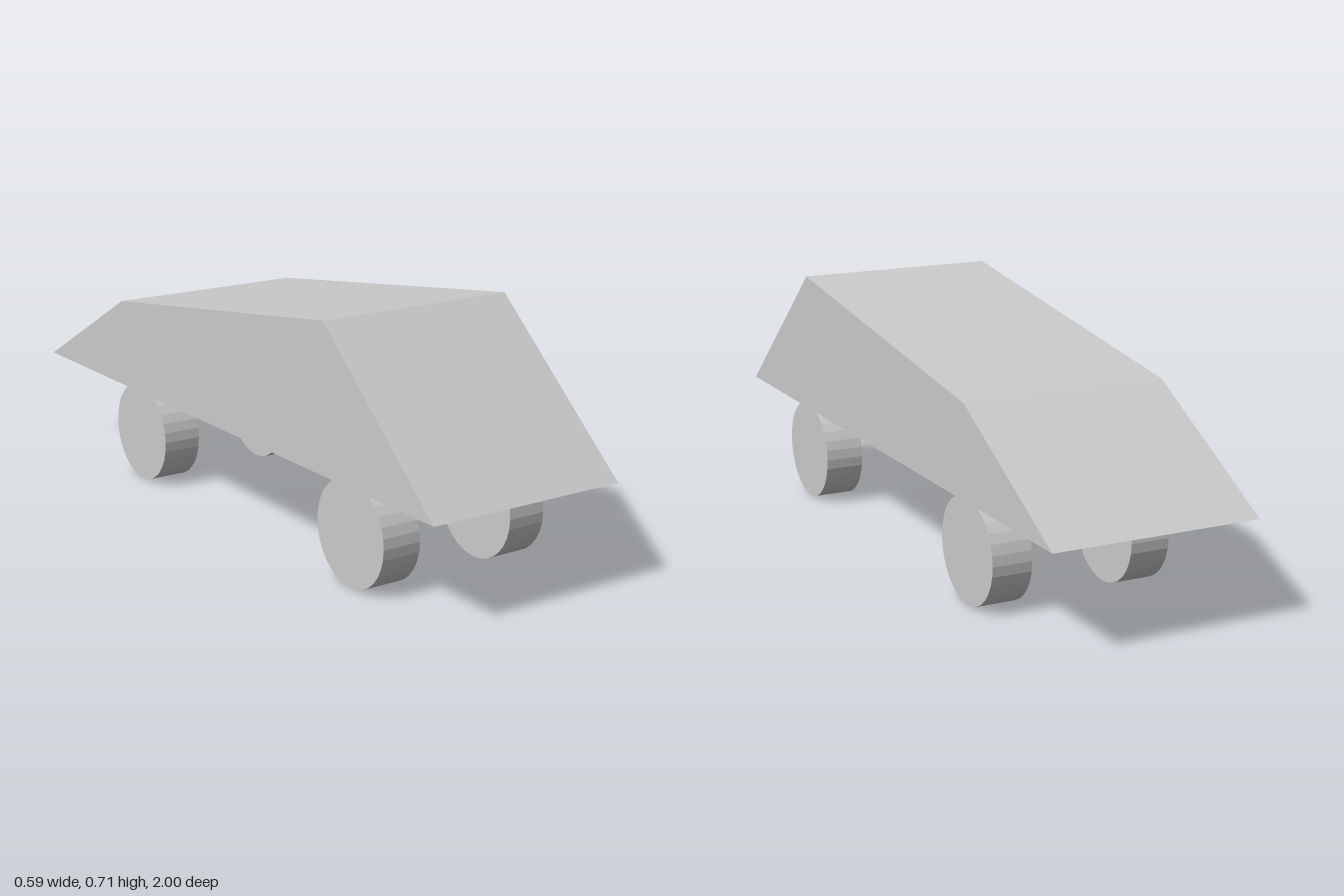
import * as THREE from 'three';

const BODY_WIDTH = 0.592;
const WHEEL_RADIUS = 0.148;
const WHEEL_WIDTH = 0.115;

export function createModel() {
  const model = new THREE.Group();
  model.name = 'wedgeCar';
  const material = new THREE.MeshStandardMaterial({ color: 0xcccccc, flatShading: true });

  // Body: side profile as (z, y), extruded across the width
  const profile = new THREE.Shape([
    [1, 0.296], [0.532, 0.706], [-0.53, 0.555], [-1, 0.296],
  ].map(([z, y]) => new THREE.Vector2(z, y)));
  const bodyGeometry = new THREE.ExtrudeGeometry(profile, { depth: BODY_WIDTH, bevelEnabled: false });
  bodyGeometry.translate(0, 0, -BODY_WIDTH / 2).rotateY(-Math.PI / 2);
  const body = new THREE.Mesh(bodyGeometry, material);
  body.name = 'body';
  model.add(body);

  // Wheels: four discs under the body, set slightly off centre towards +x
  const wheelGeometry = new THREE.CylinderGeometry(WHEEL_RADIUS, WHEEL_RADIUS, WHEEL_WIDTH, 32);
  wheelGeometry.rotateZ(Math.PI / 2);
  for (const [end, z] of [['front', 0.597], ['rear', -0.502]]) {
    for (const [side, x] of [['Left', 0.216], ['Right', -0.197]]) {
      const wheel = new THREE.Mesh(wheelGeometry, material);
      wheel.name = `${end}${side}Wheel`;
      wheel.position.set(x, WHEEL_RADIUS, z);
      model.add(wheel);
    }
  }

  return model;
}
